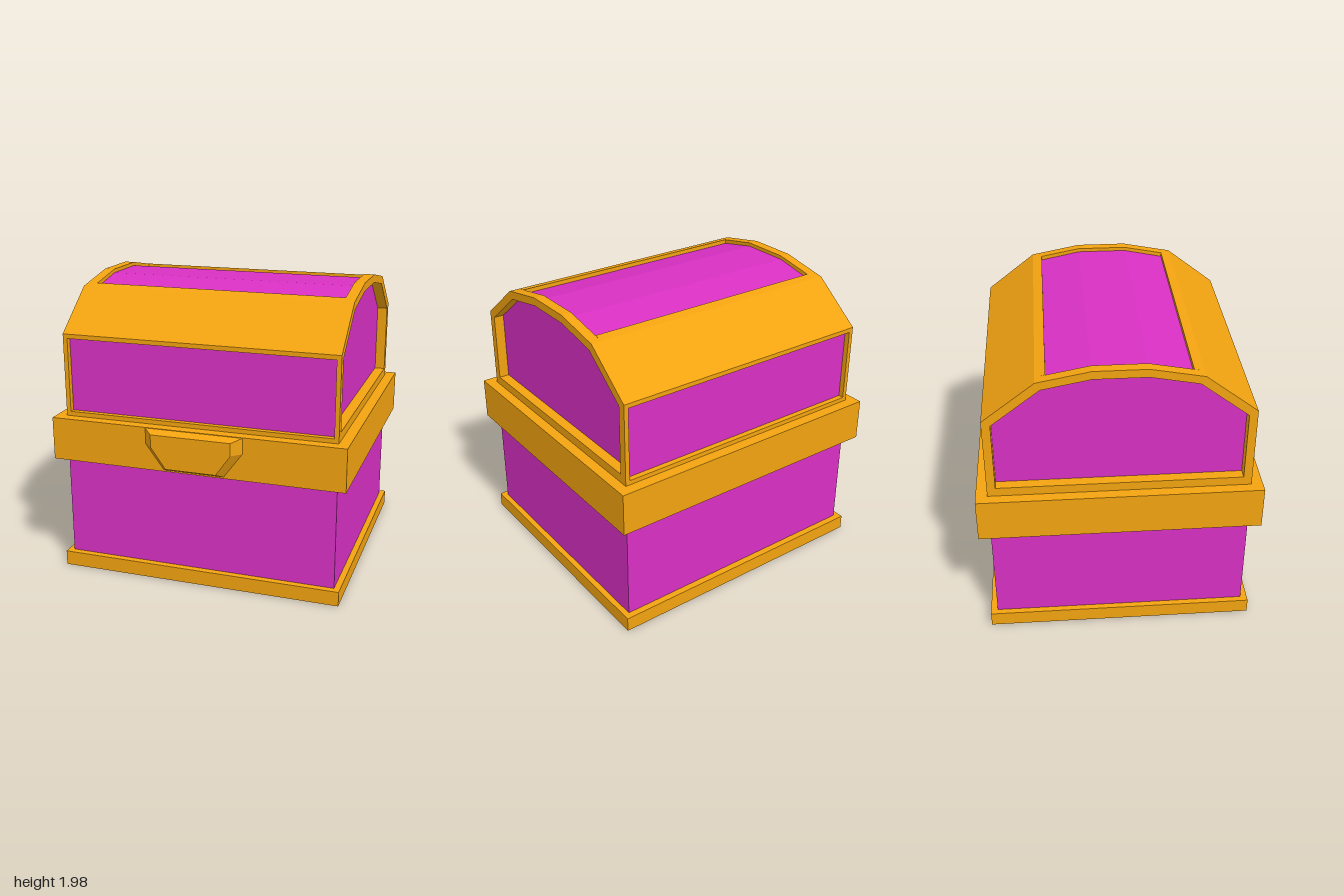
import * as THREE from 'three';
import { ConvexGeometry } from 'three/addons/geometries/ConvexGeometry.js';

const gold = new THREE.MeshStandardMaterial({ color: 0xf2a310, flatShading: true });
const purple = new THREE.MeshStandardMaterial({ color: 0xd830c3, flatShading: true });

// Closes a half profile of (z, y) points by mirroring it across z = 0
const mirrored = (half) => [...half, ...half.map(([z, y]) => [-z, y]).reverse()];
const toPoints = (pts) => pts.map(([z, y]) => new THREE.Vector2(z, y));

// Prism along x from a (z, y) outline, spanning x0..x1, with an optional hole
function prism(outline, x0, x1, hole) {
  const shape = new THREE.Shape(toPoints(outline));
  if (hole) shape.holes.push(new THREE.Path(toPoints(hole)));
  const geo = new THREE.ExtrudeGeometry(shape, { depth: x1 - x0, bevelEnabled: false });
  return geo.rotateY(-Math.PI / 2).translate(x1, 0, 0);
}

export function createModel() {
  const model = new THREE.Group();
  model.name = 'chest';
  const body = new THREE.Group();
  body.name = 'chestBody';
  body.position.z = -0.03;
  model.add(body);

  const add = (name, geo, mat) => {
    const mesh = new THREE.Mesh(geo, mat);
    mesh.name = name;
    body.add(mesh);
    return mesh;
  };
  const box = (name, mat, w, y0, y1, d, z = 0) =>
    add(name, new THREE.BoxGeometry(w, y1 - y0, d).translate(0, (y0 + y1) / 2, z), mat);

  // Base, lower box and rim band
  box('basePlinth', gold, 1.94, 0, 0.1, 1.78);
  box('lowerBox', purple, 1.86, 0.1, 0.8, 1.69);
  box('rimBand', gold, 2, 0.8, 1.09, 1.84);

  // Sunken lid core, visible through the frame openings
  const core = mirrored([[0.79, 1.09], [0.79, 1.62], [0.49, 1.885], [0.17, 1.95]]);
  add('lidCore', prism(core, -0.86, 0.86), purple);

  // End frames: an outer ring, and an inner ring notched for the long panels
  const arch = [[0.845, 1.65], [0.51, 1.91], [0.17, 1.975]];
  const outer = mirrored([[0.845, 1.09], ...arch]);
  const notched = mirrored([
    [0.845, 1.09], [0.845, 1.12], [0.805, 1.12], [0.805, 1.62], [0.845, 1.62], ...arch,
  ]);
  const opening = mirrored([[0.79, 1.15], [0.79, 1.62], [0.48, 1.86], [0.17, 1.92]]);
  for (const s of [-1, 1]) {
    const span = (a, b) => (s > 0 ? [a, b] : [-b, -a]);
    add('endFrameOuter', prism(outer, ...span(0.9, 0.93), opening), gold);
    add('endFrameInner', prism(notched, ...span(0.86, 0.9), opening), gold);
  }

  // Long sides: recessed panel, bottom rail and sloping cover
  const cover = [
    [0.845, 1.62], [0.845, 1.65], [0.51, 1.91], [0.445, 1.923],
    [0.445, 1.88], [0.48, 1.87], [0.78, 1.62],
  ];
  for (const s of [-1, 1]) {
    box('longPanel', purple, 1.8, 1.12, 1.62, 0.015, s * 0.8);
    box('longRail', gold, 1.72, 1.09, 1.12, 0.06, s * 0.815);
    add('slopingCover', prism(cover.map(([z, y]) => [s * z, y]), -0.86, 0.86), gold);
  }

  // Bevelled clasp on the front of the band
  const claspPoints = [];
  const back = [[0.34, 1.09], [0.34, 0.98], [0.21, 0.805]];
  const front = [[0.27, 1.065], [0.27, 0.98], [0.17, 0.84]];
  for (const s of [-1, 1]) {
    back.forEach(([x, y]) => claspPoints.push(new THREE.Vector3(s * x, y, 0.91)));
    front.forEach(([x, y]) => claspPoints.push(new THREE.Vector3(s * x, y, 0.98)));
  }
  add('clasp', new ConvexGeometry(claspPoints), gold);

  return model;
}
